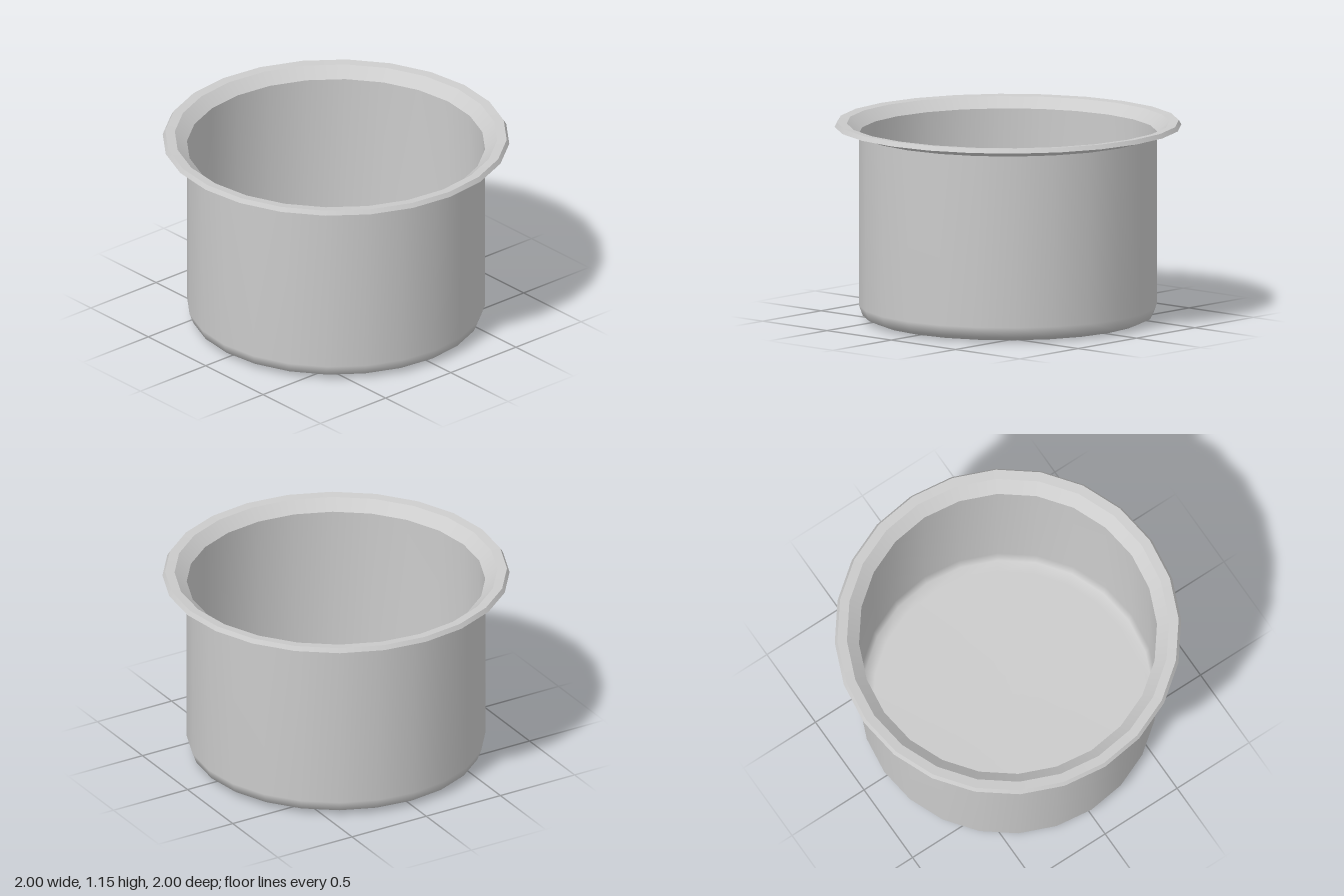
import * as THREE from 'three';

const SIDES = 24;

export function createModel() {
  const group = new THREE.Group();
  group.name = 'pot';
  // Thin sheet, seen from inside and outside
  const material = new THREE.MeshStandardMaterial({ color: 0xcccccc, side: THREE.DoubleSide });

  // Revolve a profile of [radius, height] points; separate bands keep creases sharp
  const addBand = (name, profile) => {
    const points = profile.map(([r, y]) => new THREE.Vector2(r, y));
    const mesh = new THREE.Mesh(new THREE.LatheGeometry(points, SIDES), material);
    mesh.name = name;
    group.add(mesh);
  };

  // Floor, rounded bottom edge and straight wall
  addBand('body', [[0, 0], [0.78, 0.005], [0.838, 0.03], [0.86, 0.09], [0.86, 1.09]]);
  // Flared collar
  addBand('collar', [[0.86, 1.09], [0.93, 1.15]]);
  // Flat rim
  addBand('rim', [[0.93, 1.15], [0.985, 1.155]]);
  // Turned-down outer edge
  addBand('rimEdge', [[0.985, 1.155], [1, 1.13]]);

  return group;
}
